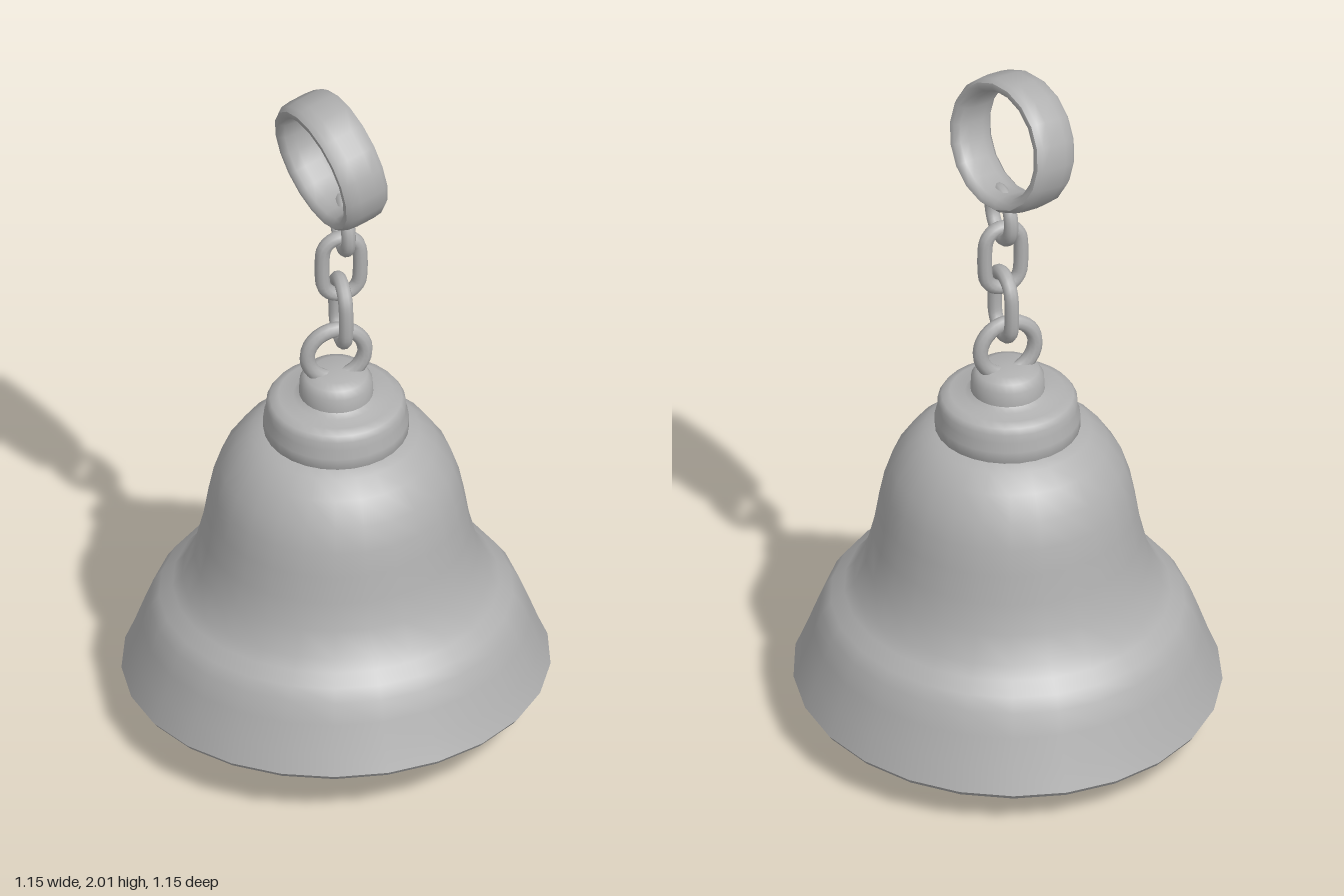
import * as THREE from 'three';
import { toCreasedNormals } from 'three/addons/utils/BufferGeometryUtils.js';

const metal = new THREE.MeshStandardMaterial({ color: 0xb0b0b0 });
metal.name = 'grey metal';

const CREASE = 0.8;

function addPart(group, name, geometry) {
  const mesh = new THREE.Mesh(geometry, metal);
  mesh.name = name;
  group.add(mesh);
  return mesh;
}

// Lathe from [radius, height] pairs; outer walls run upward
function turned(points, segments) {
  return new THREE.LatheGeometry(points.map(([r, y]) => new THREE.Vector2(r, y)), segments);
}

// Oval chain link in the xy plane; halfW and halfH run to the tube centre
function linkGeometry(halfW, halfH, tube) {
  const straight = Math.max(halfH - halfW, 0);
  const points = [];
  for (let i = 0; i < 16; i++) {
    const a = ((i + 0.5) / 16) * Math.PI * 2;
    const s = Math.sin(a);
    points.push(new THREE.Vector3(halfW * Math.cos(a), halfW * s + Math.sign(s) * straight, 0));
  }
  const path = new THREE.CatmullRomCurve3(points, true);
  return new THREE.TubeGeometry(path, 40, tube, 10, true);
}

export function createModel() {
  const model = new THREE.Group();
  model.name = 'bell';

  // Bell shell: down the inside, round the lip, up the outside
  const shell = turned([
    [0, 0.88], [0.16, 0.87], [0.235, 0.83], [0.285, 0.745], [0.318, 0.62], [0.348, 0.49],
    [0.395, 0.39], [0.445, 0.345], [0.49, 0.26], [0.545, 0.135],
    [0.555, 0.122], [0.568, 0.122], [0.577, 0.135],
    [0.55, 0.2], [0.523, 0.275], [0.5, 0.335], [0.476, 0.37], [0.44, 0.398], [0.415, 0.428],
    [0.382, 0.5], [0.362, 0.58], [0.349, 0.66], [0.335, 0.73], [0.312, 0.8],
    [0.27, 0.864], [0.225, 0.905], [0.18, 0.922], [0, 0.925],
  ], 25);
  // The lip leans up towards the front, fading out towards the crown
  const pos = shell.attributes.position;
  for (let i = 0; i < pos.count; i++) {
    const y = pos.getY(i);
    const slope = 0.065 * THREE.MathUtils.clamp((0.95 - y) / 0.82, 0, 1);
    pos.setY(i, y + slope * pos.getZ(i));
  }
  addPart(model, 'bellShell', toCreasedNormals(shell, CREASE));

  // Stepped cap
  const cap = turned([
    [0.185, 0.9], [0.196, 0.918], [0.196, 0.95], [0.188, 0.975], [0.188, 1.0], [0.178, 1.015], [0.155, 1.024],
    [0.115, 1.024], [0.1, 1.035], [0.098, 1.075], [0.085, 1.095], [0.06, 1.105], [0, 1.106],
  ], 28);
  addPart(model, 'cap', toCreasedNormals(cap, CREASE));

  // Fixed loop on the cap
  const loop = addPart(model, 'topLoop', new THREE.TorusGeometry(0.08, 0.021, 10, 28));
  loop.position.y = 1.162;

  // Chain: alternating links
  const chain = new THREE.Group();
  chain.name = 'chain';
  model.add(chain);
  [
    { x: 0.013, y: 1.305, w: 0.057, h: 0.095, turn: Math.PI / 2 },
    { x: 0.014, y: 1.455, w: 0.051, h: 0.095, turn: 0 },
    { x: 0.018, y: 1.592, w: 0.066, h: 0.07, turn: Math.PI / 2 },
  ].forEach((l, i) => {
    const link = addPart(chain, 'chainLink' + (i + 1), linkGeometry(l.w, l.h, 0.02));
    link.position.set(l.x, l.y, 0);
    link.rotation.y = l.turn;
  });

  // Tilted key ring: a wide band with softened edges
  const band = turned([
    [0.152, 0.052], [0.147, 0.025], [0.147, -0.025], [0.152, -0.052], [0.163, -0.066], [0.178, -0.066],
    [0.188, -0.052], [0.191, -0.025], [0.191, 0.025], [0.188, 0.052], [0.178, 0.066], [0.163, 0.066],
    [0.152, 0.052],
  ], 18);
  const ring = addPart(model, 'keyRing', toCreasedNormals(band, 0.95));
  const axis = new THREE.Vector3(0.94, 0.16, -0.3).normalize();
  ring.quaternion.setFromUnitVectors(new THREE.Vector3(0, 1, 0), axis);
  ring.position.set(-0.013, 1.816, 0);

  // Clapper
  const rod = addPart(model, 'clapperRod', new THREE.CylinderGeometry(0.03, 0.03, 0.7, 16));
  rod.position.y = 0.53;
  const ball = addPart(model, 'clapperBall', new THREE.SphereGeometry(0.103, 24, 16));
  ball.position.y = 0.104;

  return model;
}
